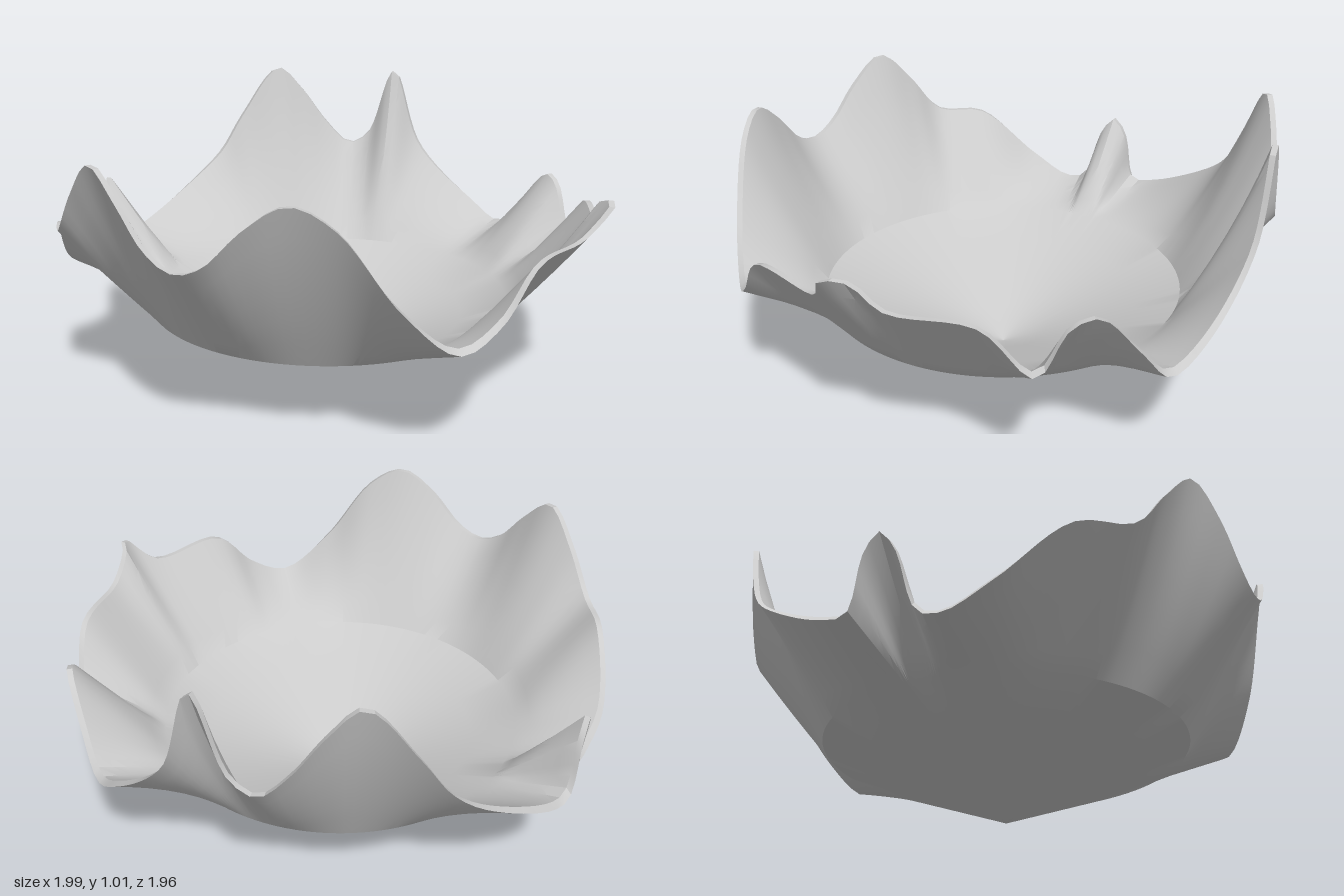
import * as THREE from 'three';
import { toCreasedNormals } from 'three/addons/utils/BufferGeometryUtils.js';

// Rim control points: [degrees from the front towards +x, height]
const RIM = [
  [0, 0.41], [9, 0.48], [18, 0.64], [37, 0.655], [42.5, 0.76], [46, 0.74], [52, 0.66],
  [69, 0.64], [79, 0.47], [85, 0.63], [90, 0.66], [99, 0.5], [106, 0.38], [115, 0.45],
  [131, 0.68], [138.3, 1.0], [145, 0.72], [150, 0.67], [156, 0.76], [163, 0.92], [169, 1.01],
  [179, 0.81], [185, 0.66], [192, 0.56], [211, 0.39], [217, 0.38], [220, 0.58], [223, 0.65],
  [226, 0.58], [230, 0.37], [235, 0.35], [245, 0.43], [259, 0.64], [270, 0.66], [278, 0.82],
  [286, 0.94], [294, 0.84], [301, 0.71], [307, 0.66], [313, 0.69], [321, 0.82], [329, 0.9],
  [337, 0.83], [348.5, 0.57],
];
const COLUMNS = 180;
const RING_R = 0.67, RING_Y = 0.28, THICK = 0.02;
const WALL_STEPS = 6;

// The rim is nearly round, with a lip at the front, a dent at the back and a fuller side
const bump = (deg, centre, width) => Math.exp(-(((deg - centre) / width) ** 2));
const rimRadius = (deg) => 0.98 + 0.07 * bump(deg, 42.5, 3)
  - 0.055 * bump(deg, 232, 6) + 0.02 * bump(deg, 270, 8) + 0.01 * bump(deg, 91, 5);

// One cross-section: from the pointed foot up the outside, over the rim, down the inside
function section(rim) {
  const r = Math.hypot(rim.x, rim.z);
  const bulge = THREE.MathUtils.clamp((rim.y - 0.6) * 0.8, 0, 0.3);
  const outer = [0, 0.25, 0.5, 0.75].map((t) => [RING_R * t, RING_Y * t]);
  for (let i = 0; i <= WALL_STEPS; i++) {
    const t = i / WALL_STEPS;
    outer.push([
      RING_R + (r - RING_R) * (t + bulge * t * (1 - t)),
      RING_Y + (rim.y - RING_Y) * t,
    ]);
  }
  // The inside moves up on the cone and inward on steep walls
  const steep = THREE.MathUtils.clamp((rim.y - 0.4) / 0.25, 0, 1);
  const inner = outer.map(([a, y], i) => {
    const w = Math.max(0, (i - 4) / WALL_STEPS);
    return [a - THICK * w, y + THICK * (1 - w * steep)];
  });
  return outer.concat(inner.reverse());
}

function bowlGeometry() {
  const curve = new THREE.CatmullRomCurve3(RIM.map(([deg, y]) => (
    new THREE.Vector3().setFromCylindricalCoords(rimRadius(deg), THREE.MathUtils.degToRad(deg), y)
  )), true, 'centripetal');
  curve.arcLengthDivisions = 1000;

  const positions = [], index = [];
  const rows = 2 * (4 + WALL_STEPS + 1);
  for (let c = 0; c < COLUMNS; c++) {
    const rim = curve.getPointAt(c / COLUMNS);
    const angle = Math.atan2(rim.x, rim.z);
    for (const [r, y] of section(rim)) {
      positions.push(r * Math.sin(angle), y, r * Math.cos(angle));
    }
  }
  // Join neighbouring sections; both ends meet at the centre in single triangles
  for (let c = 0; c < COLUMNS; c++) {
    for (let k = 0; k < rows - 1; k++) {
      const a = c * rows + k, b = ((c + 1) % COLUMNS) * rows + k;
      if (k > 0) index.push(a, b, b + 1);
      if (k < rows - 2) index.push(a, b + 1, a + 1);
    }
  }
  const geometry = new THREE.BufferGeometry();
  geometry.setAttribute('position', new THREE.Float32BufferAttribute(positions, 3));
  geometry.setIndex(index);
  return toCreasedNormals(geometry, THREE.MathUtils.degToRad(28));
}

export function createModel() {
  const group = new THREE.Group();
  group.name = 'wavyBowl';
  const material = new THREE.MeshStandardMaterial({ color: 0xcccccc });
  const bowl = new THREE.Mesh(bowlGeometry(), material);
  bowl.name = 'bowlShell';
  group.add(bowl);
  return group;
}
